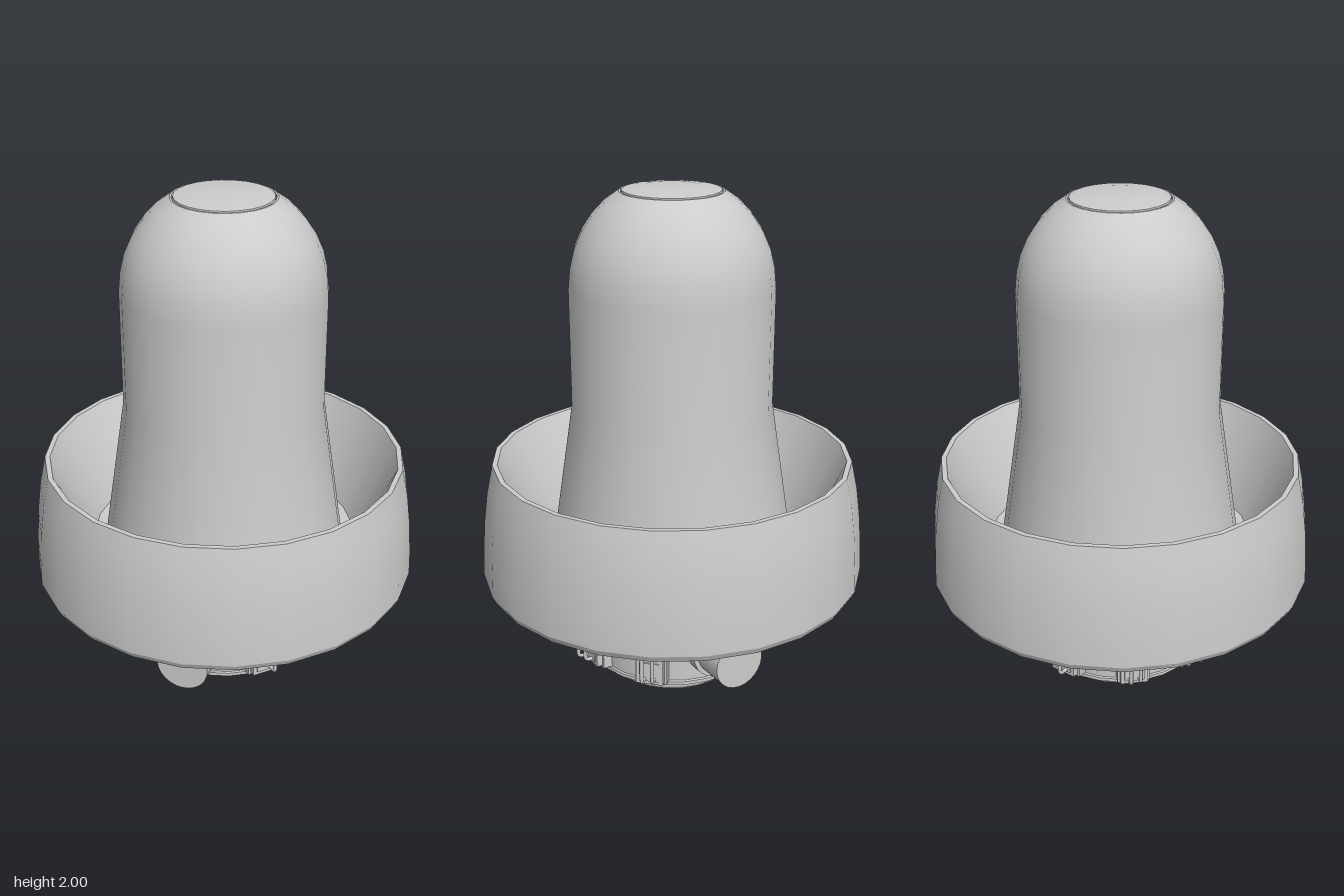
import * as THREE from 'three';
import { toCreasedNormals } from 'three/addons/utils/BufferGeometryUtils.js';

const SIDES = 24;
const grey = new THREE.MeshStandardMaterial({ color: 0xcccccc });

function mesh(name, geometry, parent, x = 0, y = 0, z = 0) {
  const m = new THREE.Mesh(geometry, grey);
  m.name = name;
  m.position.set(x, y, z);
  parent.add(m);
  return m;
}

// Turned part: profile of [radius, height], flats facing the axes
function turned(name, profile, parent) {
  const pts = profile.map(([r, y]) => new THREE.Vector2(r, y));
  const lathe = new THREE.LatheGeometry(pts, SIDES, Math.PI / SIDES);
  return mesh(name, toCreasedNormals(lathe, 0.45), parent);
}

// Pipe through a few points with tightly rounded corners
function pipe(name, points, parent) {
  const p = points.map((a) => new THREE.Vector3(...a));
  const path = new THREE.CurvePath();
  let last = p[0];
  for (let i = 1; i < p.length - 1; i++) {
    const before = p[i].clone().add(p[i - 1].clone().sub(p[i]).setLength(0.02));
    const after = p[i].clone().add(p[i + 1].clone().sub(p[i]).setLength(0.02));
    path.add(new THREE.LineCurve3(last, before));
    path.add(new THREE.QuadraticBezierCurve3(before, p[i], after));
    last = after;
  }
  path.add(new THREE.LineCurve3(last, p[p.length - 1]));
  mesh(name, new THREE.TubeGeometry(path, 40, 0.008, 8), parent);
}

// Service panel facing +z, centred on its own origin in y
function servicePanel() {
  const g = new THREE.Group();
  g.name = 'servicePanel';
  mesh('backPlate', new THREE.BoxGeometry(0.13, 0.27, 0.05), g, 0, 0, 0.34);
  for (const s of [-1, 1]) {
    mesh('coverPlate', new THREE.BoxGeometry(0.11, 0.11, 0.03), g, 0, s * 0.07, 0.375);
    mesh('coverInset', new THREE.BoxGeometry(0.08, 0.08, 0.01), g, 0, s * 0.07, 0.39);
  }
  // Tall loop and a branching pipe with a side elbow
  pipe('tallPipe', [[-0.02, 0.1, 0.36], [-0.02, 0.1, 0.435], [-0.02, -0.1, 0.435], [-0.02, -0.1, 0.36]], g);
  pipe('elbowPipe', [[0.1, 0.035, 0.33], [0.1, 0.035, 0.425], [0.02, 0.035, 0.425], [0.02, -0.1, 0.425], [0.02, -0.1, 0.36]], g);
  const clip = mesh('pipeClip', new THREE.CylinderGeometry(0.014, 0.014, 0.025, 10), g, 0.075, 0.035, 0.425);
  clip.rotation.z = Math.PI / 2;
  return g;
}

export function createModel() {
  const model = new THREE.Group();
  model.name = 'domedTower';

  // Flared skirt, open channel, tapered collar and dome in one turned shell
  turned('domeAndSkirt', [
    [0.262, 0.40], [0.272, 0.42], [0.405, 0.545], [0.59, 0.545], [0.742, 0.43],
    [0.758, 0.425], [0.77, 0.45], [0.767, 0.54], [0.757, 0.68], [0.74, 0.81], [0.715, 0.925],
    [0.695, 0.925], [0.532, 0.57], [0.484, 0.57],
    [0.395, 1.16], [0.396, 1.62], [0.388, 1.70], [0.371, 1.77], [0.342, 1.835],
    [0.303, 1.893], [0.254, 1.945], [0.2, 1.983], [0.193, 1.983], [0.19, 1.976],
  ], model);
  turned('topCap', [[0.19, 1.976], [0.188, 1.987], [0.11, 1.998], [0, 2]], model);

  // Docking base below the skirt
  turned('base', [
    [0, 0.01], [0.25, 0.01], [0.25, 0], [0.258, 0], [0.264, 0.012], [0.264, 0.045], [0.305, 0.052],
    [0.34, 0.066], [0.34, 0.08], [0.335, 0.085], [0.335, 0.36], [0.345, 0.362], [0.345, 0.376],
    [0.325, 0.388], [0.272, 0.395], [0.265, 0.42],
  ], model);

  // Ports at the front and back
  for (const s of [-1, 1]) {
    const port = new THREE.Group();
    port.name = s > 0 ? 'frontPort' : 'backPort';
    port.position.y = 0.22;
    model.add(port);
    const collar = mesh('portCollar', new THREE.CylinderGeometry(0.124, 0.124, 0.09, SIDES), port, 0, 0, s * 0.32);
    const tube = mesh('portTube', new THREE.CylinderGeometry(0.106, 0.106, 0.25, SIDES), port, 0, 0, s * 0.375);
    collar.rotation.x = tube.rotation.x = s * Math.PI / 2;
  }

  // Six service panels, alternate corners turned upside down
  for (const angle of [-135, -90, -45, 45, 90, 135]) {
    const panel = servicePanel();
    const flipped = angle === 45 || angle === -135;
    panel.rotation.set(0, THREE.MathUtils.degToRad(angle), flipped ? Math.PI : 0, 'YXZ');
    panel.position.y = 0.222;
    model.add(panel);
  }
  return model;
}
